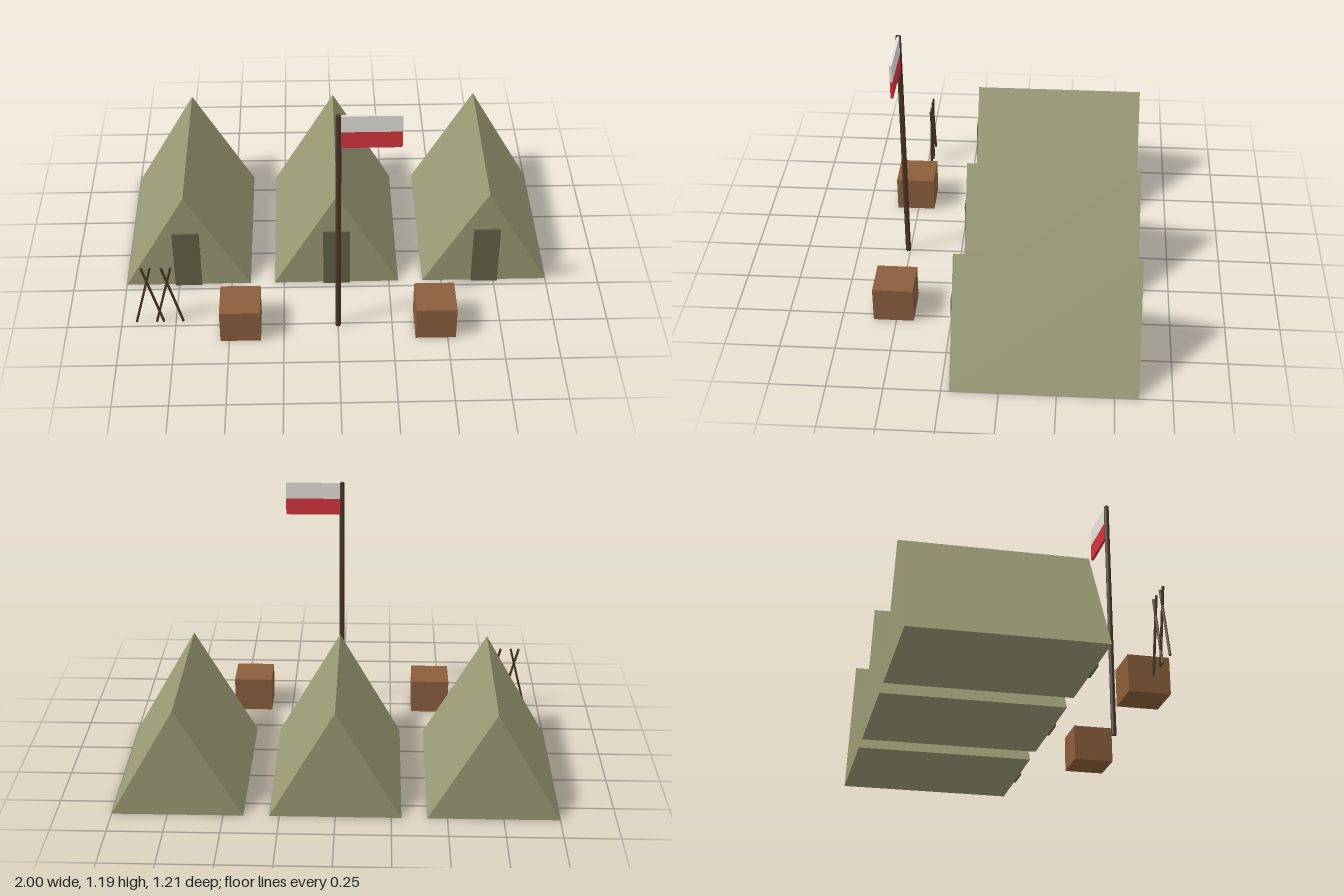
import * as THREE from 'three';

const mat = (name, color) => {
  const m = new THREE.MeshStandardMaterial({ color });
  m.name = name;
  return m;
};

export function createModel() {
  const canvas = mat('olive canvas', 0x9b9a75);
  const flap = mat('dark olive flap', 0x626148);
  const crateWood = mat('crate wood', 0x8b5e3c);
  const darkWood = mat('dark wood', 0x4a3525);
  const white = mat('flag white', 0xe8e4dc);
  const red = mat('flag red', 0xd6343d);

  const camp = new THREE.Group();
  camp.name = 'camp';

  const add = (parent, name, geometry, material, x, y, z) => {
    const mesh = new THREE.Mesh(geometry, material);
    mesh.name = name;
    mesh.position.set(x, y, z);
    parent.add(mesh);
    return mesh;
  };

  // Three ridge tents, each with a closed door flap
  const gable = new THREE.Shape([
    new THREE.Vector2(-0.295, 0),
    new THREE.Vector2(0.295, 0),
    new THREE.Vector2(0, 0.52),
  ]);
  const tentGeo = new THREE.ExtrudeGeometry(gable, { depth: 0.818, bevelEnabled: false });
  const flapGeo = new THREE.BoxGeometry(0.126, 0.315, 0.0095);
  for (const x of [-0.705, 0, 0.705]) {
    const tent = new THREE.Group();
    tent.name = 'tent';
    tent.position.x = x;
    add(tent, 'tentCanvas', tentGeo, canvas, 0, 0, -0.605);
    add(tent, 'doorFlap', flapGeo, flap, 0, 0.1575, 0.2178);
    camp.add(tent);
  }

  // Supply crates
  const crateGeo = new THREE.BoxGeometry(0.185, 0.168, 0.185);
  for (const x of [-0.447, 0.445]) add(camp, 'crate', crateGeo, crateWood, x, 0.084, 0.5125);

  // Flagpole with a two-band flag
  const flagpole = new THREE.Group();
  flagpole.name = 'flagpole';
  flagpole.position.z = 0.51;
  add(flagpole, 'pole', new THREE.CylinderGeometry(0.0125, 0.0125, 1.187, 8), darkWood, 0, 0.5935, 0);
  const bandGeo = new THREE.BoxGeometry(0.268, 0.081, 0.012);
  add(flagpole, 'flagUpperBand', bandGeo, white, 0.136, 1.1465, 0);
  add(flagpole, 'flagLowerBand', bandGeo, red, 0.136, 1.0655, 0);
  camp.add(flagpole);

  // Two crossed pairs of poles in one plane
  const stickGeo = new THREE.CylinderGeometry(0.006, 0.006, 0.335, 6);
  const sticks = new THREE.Group();
  sticks.name = 'crossedPoles';
  [-0.89, -0.847, -0.797, -0.757].forEach((x, i) => {
    const stick = add(sticks, 'stick', stickGeo, darkWood, x, 0.168, 0.473);
    stick.rotation.z = i % 2 ? 0.25 : -0.25;
  });
  camp.add(sticks);

  return camp;
}
